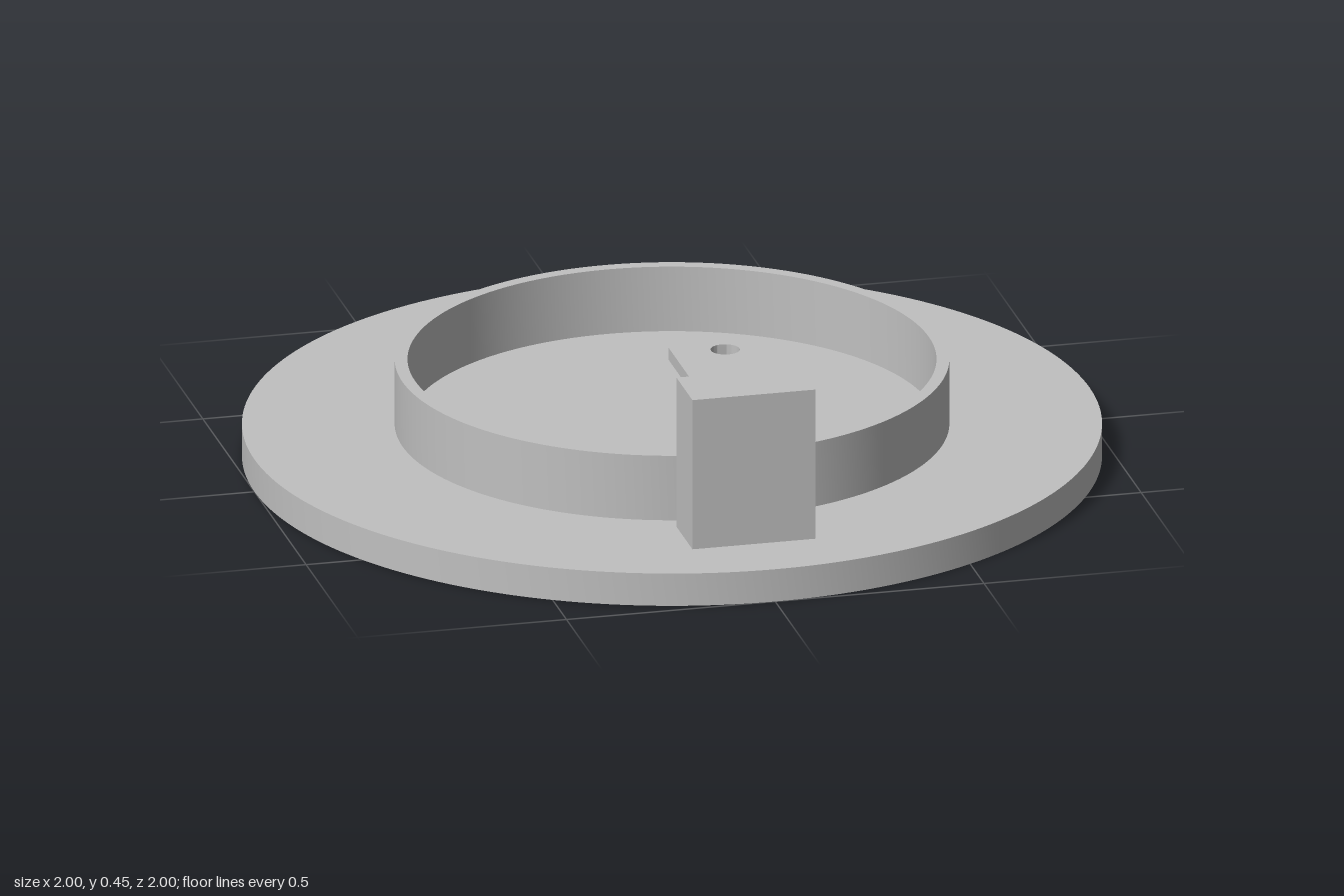
import * as THREE from 'three';
import { toCreasedNormals } from 'three/addons/utils/BufferGeometryUtils.js';

export function createModel() {
  const model = new THREE.Group();
  const grey = new THREE.MeshStandardMaterial({ color: 0xc0c0c0 });
  grey.name = 'plain grey';

  const add = (name, geometry) => {
    const mesh = new THREE.Mesh(geometry, grey);
    mesh.name = name;
    model.add(mesh);
  };

  // Plan outline in (x, z), extruded between two heights with crisp rims
  const slab = (name, shape, y0, y1, curveSegments = 96) => {
    const g = new THREE.ExtrudeGeometry(shape, { depth: y1 - y0, bevelEnabled: false, curveSegments });
    g.rotateX(Math.PI / 2).translate(0, y1, 0);
    add(name, toCreasedNormals(g, 0.6));
  };
  const circle = (Type, x, z, r) => new Type().absarc(x, z, r, 0, Math.PI * 2, false);
  const rect = (x0, x1, z0, z1) => new THREE.Shape([
    new THREE.Vector2(x0, z0), new THREE.Vector2(x1, z0),
    new THREE.Vector2(x1, z1), new THREE.Vector2(x0, z1),
  ]);

  // Base disc with an annular-sector opening
  const base = circle(THREE.Shape, 0, 0, 1);
  const a0 = THREE.MathUtils.degToRad(112.5);
  const a1 = THREE.MathUtils.degToRad(140);
  const opening = new THREE.Path();
  opening.absarc(0, 0, 0.56, a0, a1, false);
  opening.absarc(0, 0, 0.395, a1, a0, true);
  opening.closePath();
  base.holes.push(opening);
  slab('baseDisc', base, 0, 0.08);

  // Raised wall
  const wall = circle(THREE.Shape, 0, 0, 0.645);
  wall.holes.push(circle(THREE.Path, 0, 0, 0.615));
  slab('ringWall', wall, 0.08, 0.24);

  // Post and overhanging arm with a round hole
  slab('post', rect(-0.155, 0.14, 0.67, 0.825), 0.08, 0.45);
  const arm = rect(-0.125, 0.12, 0.47, 0.67);
  arm.holes.push(circle(THREE.Path, 0, 0.515, 0.034));
  slab('arm', arm, 0.42, 0.45, 32);

  // Thin holder below the arm: a loop between two rails
  const loop = circle(THREE.Shape, 0, 0.52, 0.066);
  loop.holes.push(circle(THREE.Path, 0, 0.52, 0.055));
  slab('holderLoop', loop, 0.324, 0.336, 48);
  for (const side of [-1, 1]) {
    const x = side * 0.072;
    slab(side < 0 ? 'rightRail' : 'leftRail', rect(x - 0.008, x + 0.008, 0.47, 0.67), 0.324, 0.336);
  }

  return model;
}
